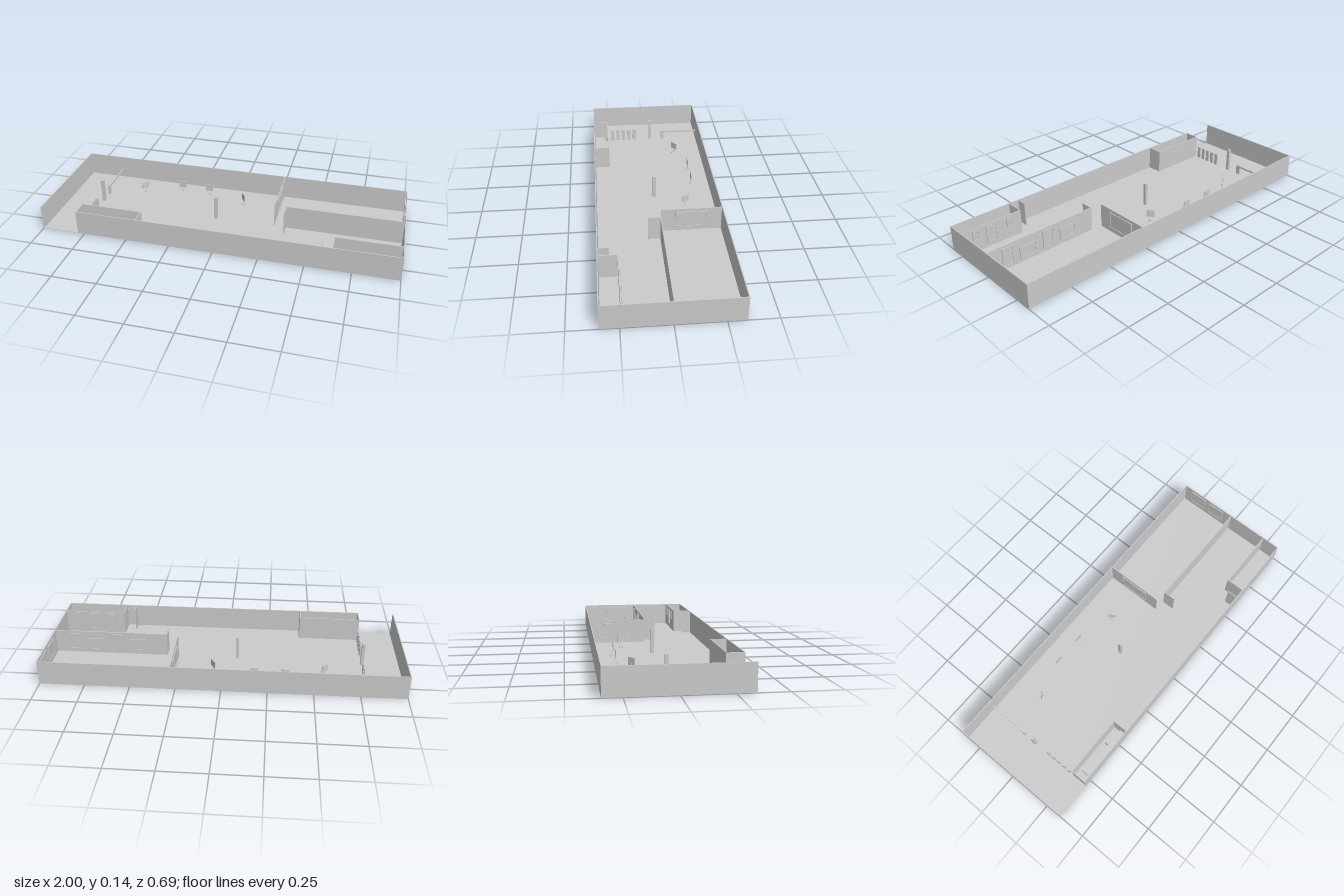
import * as THREE from 'three';

const H = 0.14;   // wall height
const T = 0.005;  // wall thickness
const X = 1, Z = 0.345;

export function createModel() {
  const model = new THREE.Group();
  const mat = new THREE.MeshStandardMaterial({ color: 0xcccccc, flatShading: true });

  // Box given by its min and max on each axis
  function box(name, x0, x1, y0, y1, z0, z1, parent = model) {
    const mesh = new THREE.Mesh(new THREE.BoxGeometry(x1 - x0, y1 - y0, z1 - z0), mat);
    mesh.position.set((x0 + x1) / 2, (y0 + y1) / 2, (z0 + z1) / 2);
    mesh.name = name;
    parent.add(mesh);
    return mesh;
  }
  const wallX = (name, x0, x1, z) => box(name, x0, x1, 0, H, z - T / 2, z + T / 2);
  const wallZ = (name, x, z0, z1) => box(name, x - T / 2, x + T / 2, 0, H, z0, z1);

  // Picture: raised frame around a thinner panel, facing local +z
  function picture(name, w, h, x, y, z, turn) {
    const b = 0.005;
    const shape = new THREE.Shape();
    const hole = new THREE.Path();
    const rect = (p, a, c) => p.moveTo(-a, -c).lineTo(a, -c).lineTo(a, c).lineTo(-a, c).closePath();
    rect(shape, w / 2, h / 2);
    rect(hole, w / 2 - b, h / 2 - b);
    shape.holes.push(hole);
    const group = new THREE.Group();
    group.name = name;
    const frame = new THREE.Mesh(new THREE.ExtrudeGeometry(shape, { depth: 0.005, bevelEnabled: false }), mat);
    frame.name = 'pictureFrame';
    group.add(frame);
    box('picturePanel', -w / 2 + b, w / 2 - b, -h / 2 + b, h / 2 - b, 0, 0.002, group);
    group.position.set(x, y, z);
    group.rotation.y = turn;
    model.add(group);
  }

  // Floor and outer walls, open at one front corner
  box('floor', -X, X, 0, 0.002, -Z, Z);
  wallX('backWall', -X, X, -Z + T / 2);
  wallX('frontWall', -0.787, X, Z - T / 2);
  wallZ('entranceEndWall', -X + T / 2, -Z, Z);
  wallZ('galleryEndWall', X - T / 2, -Z, Z);

  // Partitions
  wallZ('screenWall', 0.275, -Z, -0.008);
  wallX('galleryWall', 0.34, X, 0);
  wallZ('galleryWallReturn', 0.342, 0, 0.068);
  wallX('storeWall', 0.638, X, 0.24);
  wallZ('storeSideWall', 0.64, 0.24, Z);
  wallZ('stubWall', 0.58, 0.283, Z);

  // Cloakroom with a notched counter
  wallX('cloakroomWall', -0.787, -0.433, 0.255);
  wallZ('cloakroomEndWall', -0.785, 0.255, Z);
  wallZ('cloakroomSideWall', -0.435, 0.255, Z);
  const outline = [[-0.74, 0.34], [-0.74, 0.278], [-0.57, 0.278], [-0.57, 0.3], [-0.543, 0.3],
    [-0.543, 0.278], [-0.463, 0.278], [-0.463, 0.3], [-0.438, 0.3], [-0.438, 0.34]];
  const counterShape = new THREE.Shape(outline.map(([x, z]) => new THREE.Vector2(x, -z)));
  const counter = new THREE.Mesh(new THREE.ExtrudeGeometry(counterShape, { depth: 0.05, bevelEnabled: false }), mat);
  counter.rotation.x = -Math.PI / 2;
  counter.name = 'cloakroomCounter';
  model.add(counter);

  // Columns
  for (const [x, z] of [[-0.785, -0.028], [-0.07, 0]]) {
    box('column', x - 0.009, x + 0.009, 0, H, z - 0.009, z + 0.009);
  }

  // Entrance posts and barrier
  for (let i = 0; i < 5; i++) {
    const z = 0.075 + i * 0.037;
    box('entrancePost', -0.79, -0.78, 0, 0.075, z - 0.011, z + 0.011);
  }
  box('barrierBar', -0.788, -0.782, 0.045, 0.056, -Z, -0.1);
  box('barrierPost', -0.79, -0.78, 0, 0.06, -0.125, -0.1);

  // Large screens on both faces of the screen wall
  for (const s of [-1, 1]) {
    picture('wallScreen', 0.175, 0.095, 0.275 + s * T / 2, 0.075, -0.172, s * Math.PI / 2);
  }

  // Pictures: width, height, x, y on the gallery and store walls
  const galleryPictures = [[0.065, 0.105, 0.883, 0.075], [0.1, 0.07, 0.763, 0.06],
    [0.065, 0.105, 0.636, 0.075], [0.1, 0.07, 0.51, 0.065]];
  for (const [w, h, x, y] of galleryPictures) picture('galleryPicture', w, h, x, y, -T / 2, Math.PI);
  const storePictures = [[0.035, 0.06, 0.92, 0.1], [0.065, 0.1, 0.825, 0.078], [0.035, 0.05, 0.713, 0.1]];
  for (const [w, h, x, y] of storePictures) picture('storePicture', w, h, x, y, 0.24 - T / 2, Math.PI);
  for (const z of [-0.24, -0.11]) picture('endWallPicture', 0.105, 0.09, X - T, 0.078, z, -Math.PI / 2);

  // Easels: board on a tripod
  function rod(from, to, parent) {
    const a = new THREE.Vector3(...from), b = new THREE.Vector3(...to);
    const mesh = new THREE.Mesh(new THREE.CylinderGeometry(0.0015, 0.0015, a.distanceTo(b), 6), mat);
    mesh.position.copy(a).add(b).multiplyScalar(0.5);
    mesh.quaternion.setFromUnitVectors(new THREE.Vector3(0, 1, 0), b.sub(a).normalize());
    mesh.name = 'easelLeg';
    parent.add(mesh);
  }
  const easels = [[-0.565, -0.17, 40], [-0.345, -0.232, 0], [-0.175, -0.232, 0], [0.055, -0.17, -55]];
  for (const [x, z, degrees] of easels) {
    const easel = new THREE.Group();
    easel.name = 'easel';
    box('easelBoard', -0.022, 0.022, 0.042, 0.082, -0.002, 0.002, easel);
    for (const foot of [[-0.016, 0, 0.008], [0.016, 0, 0.008], [0, 0, -0.018]]) {
      rod([0, 0.03, -0.002], foot, easel);
    }
    rod([0, 0.028, -0.002], [0, 0.06, -0.002], easel);
    easel.position.set(x, 0, z);
    easel.rotation.y = THREE.MathUtils.degToRad(degrees);
    model.add(easel);
  }

  return model;
}
